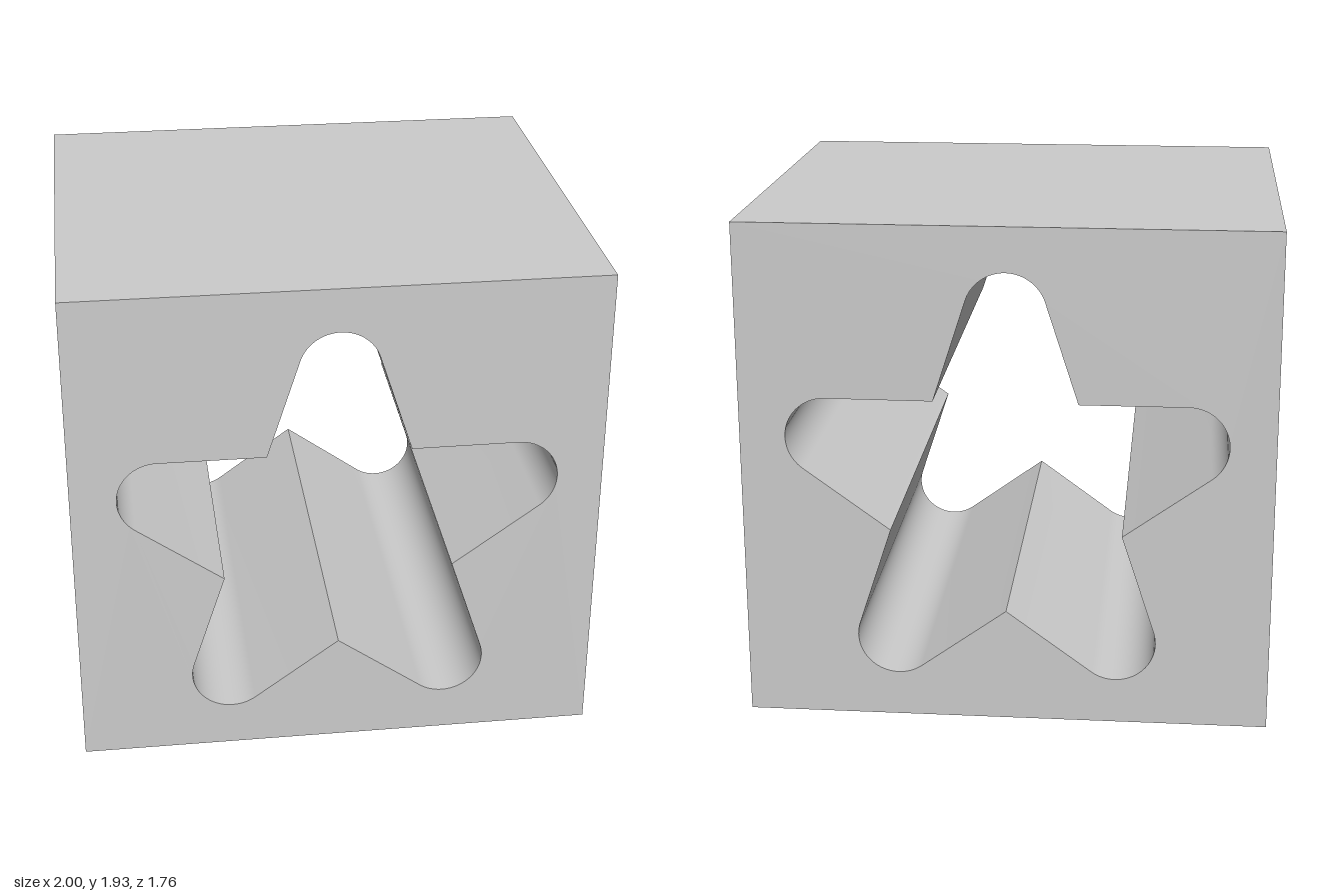
import * as THREE from 'three';
import { toCreasedNormals } from 'three/addons/utils/BufferGeometryUtils.js';

const WIDTH = 2, HEIGHT = 1.935, DEPTH = 1.76;
const STAR_Y = 0.903;       // centre of the star opening
const INNER_RADIUS = 0.459; // sharp inner corners
const TIP_DISTANCE = 0.709; // centres of the rounded tips
const TIP_RADIUS = 0.153;

// Five-pointed star with rounded tips and sharp inner corners
function starPath() {
  const path = new THREE.Path();
  const step = Math.PI * 2 / 5;
  const polar = (r, a) => [r * Math.cos(a), STAR_Y + r * Math.sin(a)];
  path.moveTo(...polar(INNER_RADIUS, Math.PI / 2 - step / 2));
  for (let i = 0; i < 5; i++) {
    const a = Math.PI / 2 + i * step;
    path.absarc(...polar(TIP_DISTANCE, a), TIP_RADIUS, a - step, a + step, false);
    path.lineTo(...polar(INNER_RADIUS, a + step / 2));
  }
  return path;
}

export function createModel() {
  // Block face with the star cut out, extruded right through
  const face = new THREE.Shape([
    new THREE.Vector2(-WIDTH / 2, 0),
    new THREE.Vector2(WIDTH / 2, 0),
    new THREE.Vector2(WIDTH / 2, HEIGHT),
    new THREE.Vector2(-WIDTH / 2, HEIGHT),
  ]);
  face.holes.push(starPath());

  const geometry = new THREE.ExtrudeGeometry(face, {
    depth: DEPTH, bevelEnabled: false, curveSegments: 16,
  });
  geometry.translate(0, 0, -DEPTH / 2);

  const block = new THREE.Mesh(
    toCreasedNormals(geometry, 0.5),
    new THREE.MeshStandardMaterial({ color: 0xcccccc }),
  );
  block.name = 'blockWithStarOpening';

  const model = new THREE.Group();
  model.name = 'starBlock';
  model.add(block);
  return model;
}
